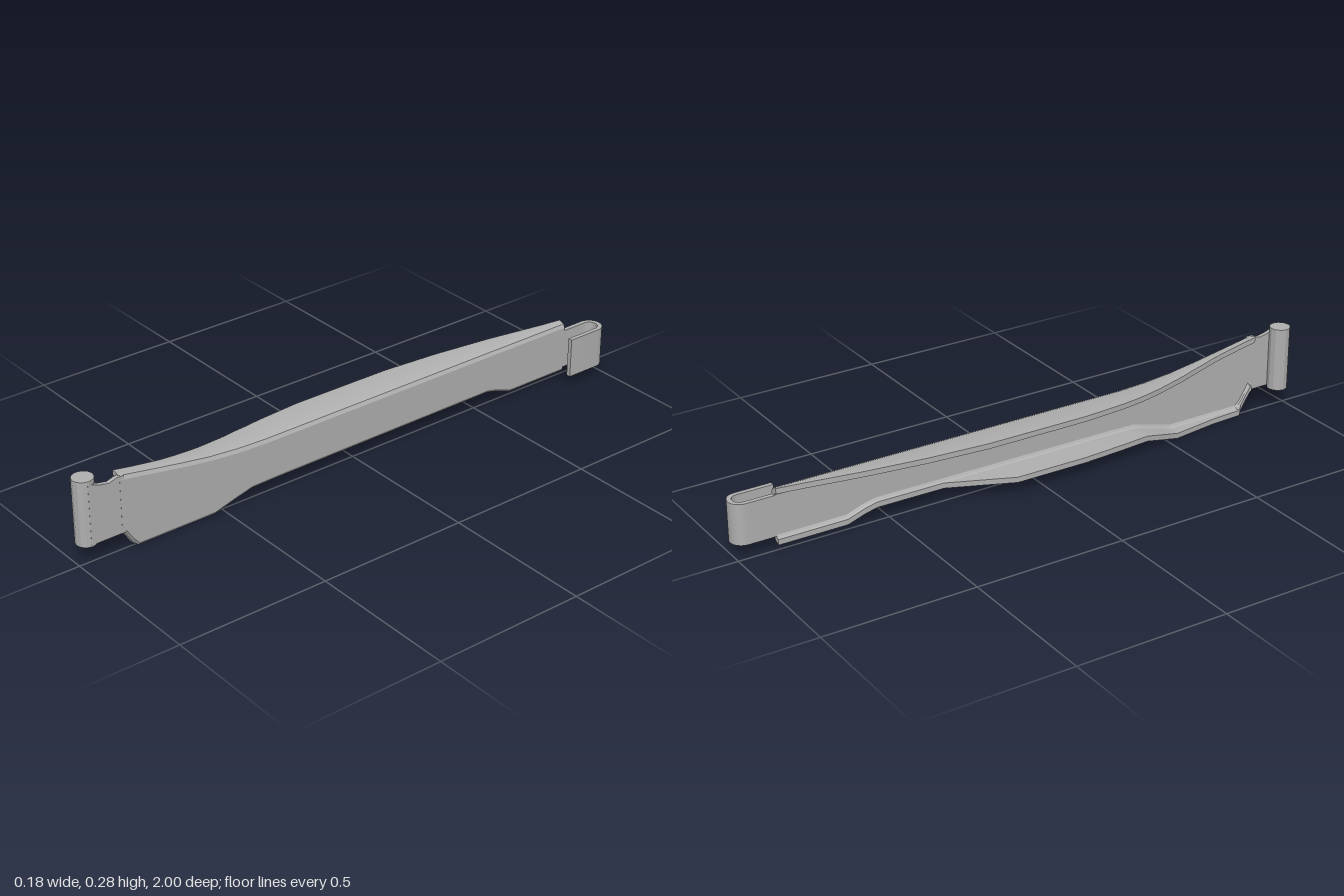
import * as THREE from 'three';
import { toCreasedNormals } from 'three/addons/utils/BufferGeometryUtils.js';

const T = 0.018; // sheet thickness of the flanges

// Piecewise linear lookup in [z, value] pairs sorted by falling z
function sample(pairs, z) {
  if (z >= pairs[0][0]) return pairs[0][1];
  for (let i = 1; i < pairs.length; i++) {
    const [z0, v0] = pairs[i - 1], [z1, v1] = pairs[i];
    if (z >= z1) return v0 + (v1 - v0) * (z0 - z) / (z0 - z1);
  }
  return pairs[pairs.length - 1][1];
}

// Edge lines of the pressed channel
const topY = [[0.865, 0.265], [0.75, 0.245], [0.65, 0.228], [0.55, 0.213], [0.45, 0.204], [0.35, 0.2]];
const bottomY = [[0.86, 0.07], [0.825, 0.015], [0.81, 0], [0.54, 0], [0.47, 0.02], [0.4, 0.038],
  [0.3, 0.04], [-0.54, 0.044], [-0.58, 0.035], [-0.64, 0.015]];
const topX = [[0.8, -0.01], [0.7, -0.015], [0.6, -0.03], [0.5, -0.048], [0.4, -0.066], [0.3, -0.079],
  [0.15, -0.09], [-0.2, -0.088], [-0.4, -0.072], [-0.6, -0.046], [-0.8, -0.012], [-0.87, -0.002]];
const bottomX = [[0.825, -0.002], [0.81, -0.012], [0.7, -0.018], [0.54, -0.04], [0.47, -0.056], [0.4, -0.067],
  [0.3, -0.079], [0.15, -0.09], [-0.1, -0.09], [-0.31, -0.002]];

// C-shaped section: outer skin, then inner skin back again
function section(z) {
  const t = sample(topY, z), b = sample(bottomY, z), xt = sample(topX, z), xb = sample(bottomX, z);
  return [
    [xt, t], [0.004, t], [0.019, t - 0.006], [0.025, t - 0.018],
    [0.025, b + 0.018], [0.019, b + 0.008], [0, b], [xb, b],
    [xb, b + T], [0, b + T], [0.006, b + T + 0.003], [0.01, b + T + 0.01],
    [0.01, t - T - 0.01], [0.006, t - T - 0.003], [0, t - T], [xt, t - T],
  ].map(([x, y]) => [x, y, z]);
}

function channelGeometry() {
  const stations = [...new Set([0.865, -0.87, ...[topY, bottomY, topX, bottomX].flat().map((p) => p[0])])]
    .sort((a, b) => b - a);
  const rings = stations.map(section), n = rings[0].length, pos = [];
  const quad = (a, b, c, d) => pos.push(...a, ...b, ...c, ...a, ...c, ...d);
  for (let i = 0; i < rings.length - 1; i++) {
    for (let j = 0; j < n; j++) {
      const k = (j + 1) % n;
      quad(rings[i][j], rings[i][k], rings[i + 1][k], rings[i + 1][j]);
    }
  }
  // End caps join outer and inner skin
  const f = rings[0], r = rings[rings.length - 1];
  for (let j = 0; j < n / 2 - 1; j++) {
    const p = n - 1 - j;
    quad(f[j], f[p], f[p - 1], f[j + 1]);
    quad(r[j], r[j + 1], r[p - 1], r[p]);
  }
  const g = new THREE.BufferGeometry();
  g.setAttribute('position', new THREE.Float32BufferAttribute(pos, 3));
  return toCreasedNormals(g, 0.4);
}

export function createModel() {
  const group = new THREE.Group();
  const steel = new THREE.MeshStandardMaterial({ color: 0xb0b0b0 });
  steel.name = 'grey steel';
  const add = (name, geometry) => {
    const m = new THREE.Mesh(geometry, steel);
    m.name = name;
    group.add(m);
    return m;
  };

  add('flangedArm', channelGeometry());

  // Flat tab between the arm and the hinge barrel, dipped along its top
  const tab = new THREE.Shape();
  tab.moveTo(-0.97, 0.07);
  tab.lineTo(-0.85, 0.07);
  tab.lineTo(-0.85, 0.258);
  tab.lineTo(-0.875, 0.258);
  tab.lineTo(-0.9, 0.25);
  tab.lineTo(-0.93, 0.256);
  tab.lineTo(-0.97, 0.27);
  const tabGeo = new THREE.ExtrudeGeometry(tab, { depth: 0.014, bevelEnabled: false });
  tabGeo.rotateY(Math.PI / 2);
  add('hingeTab', tabGeo).position.x = 0.0105;

  // Rolled hinge barrel
  const barrel = new THREE.CylinderGeometry(0.034, 0.034, 0.215, 12);
  add('hingeBarrel', toCreasedNormals(barrel, 0.4)).position.set(-0.009, 0.1725, 0.966);

  // U-shaped hook, drawn in plan (shape y is -z) and raised along y
  const hook = new THREE.Shape();
  hook.moveTo(0.01, 0.85);
  hook.lineTo(0.01, 0.96);
  hook.absarc(0.05, 0.96, 0.04, Math.PI, 0, true);
  hook.lineTo(0.09, 0.84);
  hook.lineTo(0.075, 0.84);
  hook.lineTo(0.075, 0.96);
  hook.absarc(0.05, 0.96, 0.025, 0, Math.PI, false);
  hook.lineTo(0.025, 0.85);
  const hookGeo = new THREE.ExtrudeGeometry(hook, { depth: 0.134, bevelEnabled: false, curveSegments: 8 });
  hookGeo.rotateX(-Math.PI / 2);
  add('endHook', toCreasedNormals(hookGeo, 0.5)).position.y = 0.038;

  return group;
}
